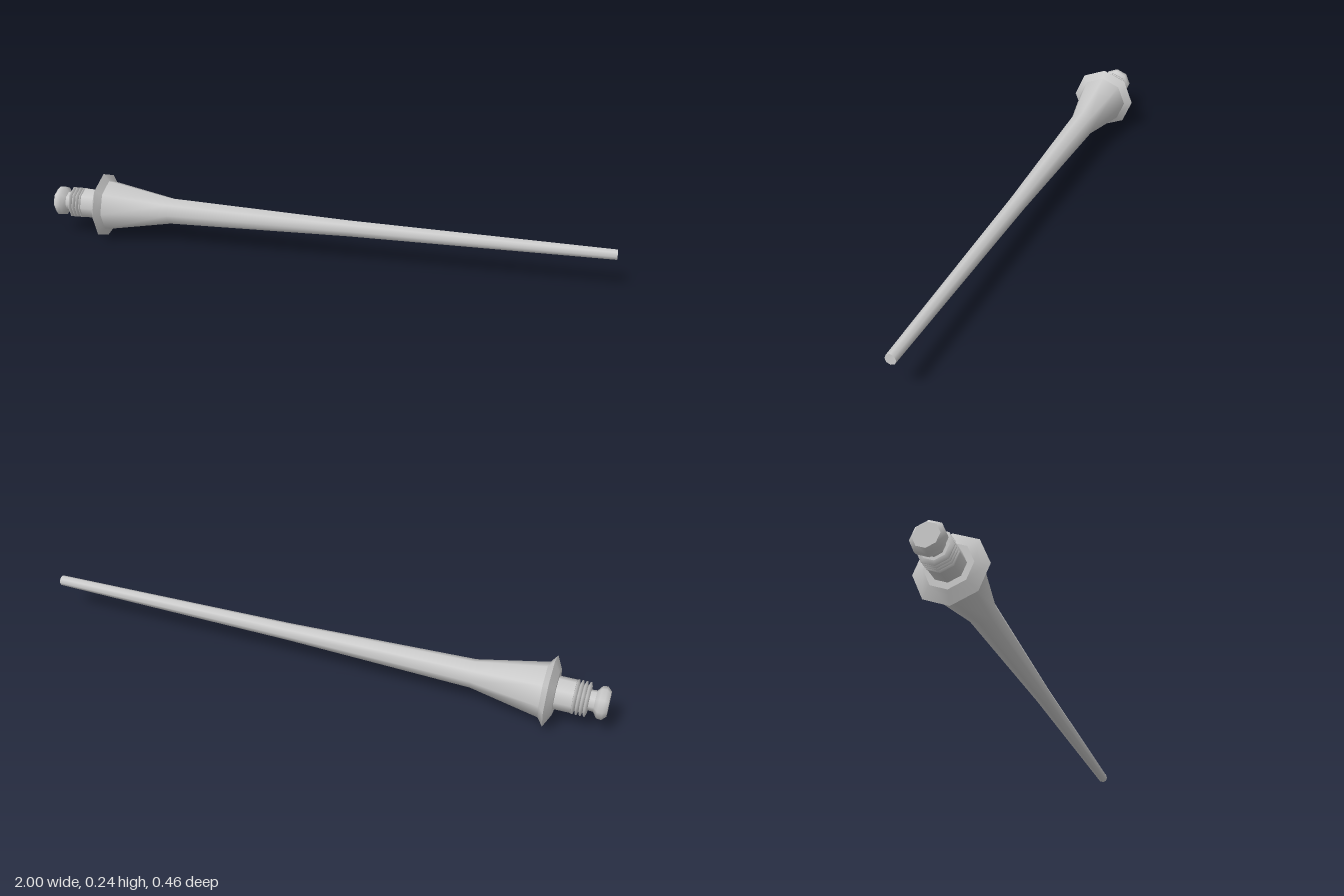
import * as THREE from 'three';

const SIDES = 8;
const material = new THREE.MeshStandardMaterial({ color: 0xcccccc, side: THREE.DoubleSide });

// Turned part: profile of [position along the axis, radius], running from butt to tip
function turned(name, profile) {
  const points = profile.map(([s, r]) => new THREE.Vector2(r, s));
  const geometry = new THREE.LatheGeometry(points, SIDES);
  geometry.rotateZ(-Math.PI / 2);
  const mesh = new THREE.Mesh(geometry, material);
  mesh.name = name;
  return mesh;
}

export function createModel() {
  const lance = new THREE.Group();
  lance.name = 'lance';

  // Long tapering shaft with its small flat tip
  lance.add(turned('shaft', [[-0.797, 0.094], [-0.56, 0.049], [0.1, 0.03], [1.011, 0.0185]]));
  lance.add(turned('tipCap', [[1.011, 0.0185], [1.011, 0]]));

  // Flared hand guard: front lip and bevelled back
  lance.add(turned('guardLip', [[-0.817, 0.12], [-0.797, 0.094]]));
  lance.add(turned('guardBack', [[-0.838, 0.078], [-0.817, 0.12]]));
  lance.add(turned('guardBackFace', [[-0.838, 0.05], [-0.838, 0.078]]));

  // Grip
  lance.add(turned('grip', [[-0.895, 0.056], [-0.835, 0.056]]));
  lance.add(turned('gripEnd', [[-0.895, 0.03], [-0.895, 0.056]]));

  // Ridged binding behind the grip
  const ridges = 4;
  const pitch = 0.013;
  for (let i = 0; i < ridges; i++) {
    const s = -0.945 + i * pitch;
    lance.add(turned('bindingRing', [
      [s, 0.045], [s + pitch * 0.3, 0.058], [s + pitch * 0.7, 0.058], [s + pitch, 0.045],
    ]));
  }
  lance.add(turned('bindingEnd', [[-0.945, 0.028], [-0.945, 0.045]]));

  // Neck and rounded pommel
  lance.add(turned('neck', [[-0.966, 0.036], [-0.94, 0.034]]));
  lance.add(turned('pommel', [[-1.007, 0.042], [-0.993, 0.056], [-0.977, 0.054], [-0.962, 0.034]]));
  lance.add(turned('pommelEnd', [[-1.007, 0], [-1.007, 0.042]]));

  // Lance lies slightly across the length, almost level
  lance.rotation.set(0, 0.1763, 0.0035);
  lance.position.set(0, 0.1235, -0.032);

  const model = new THREE.Group();
  model.name = 'model';
  model.add(lance);
  return model;
}
